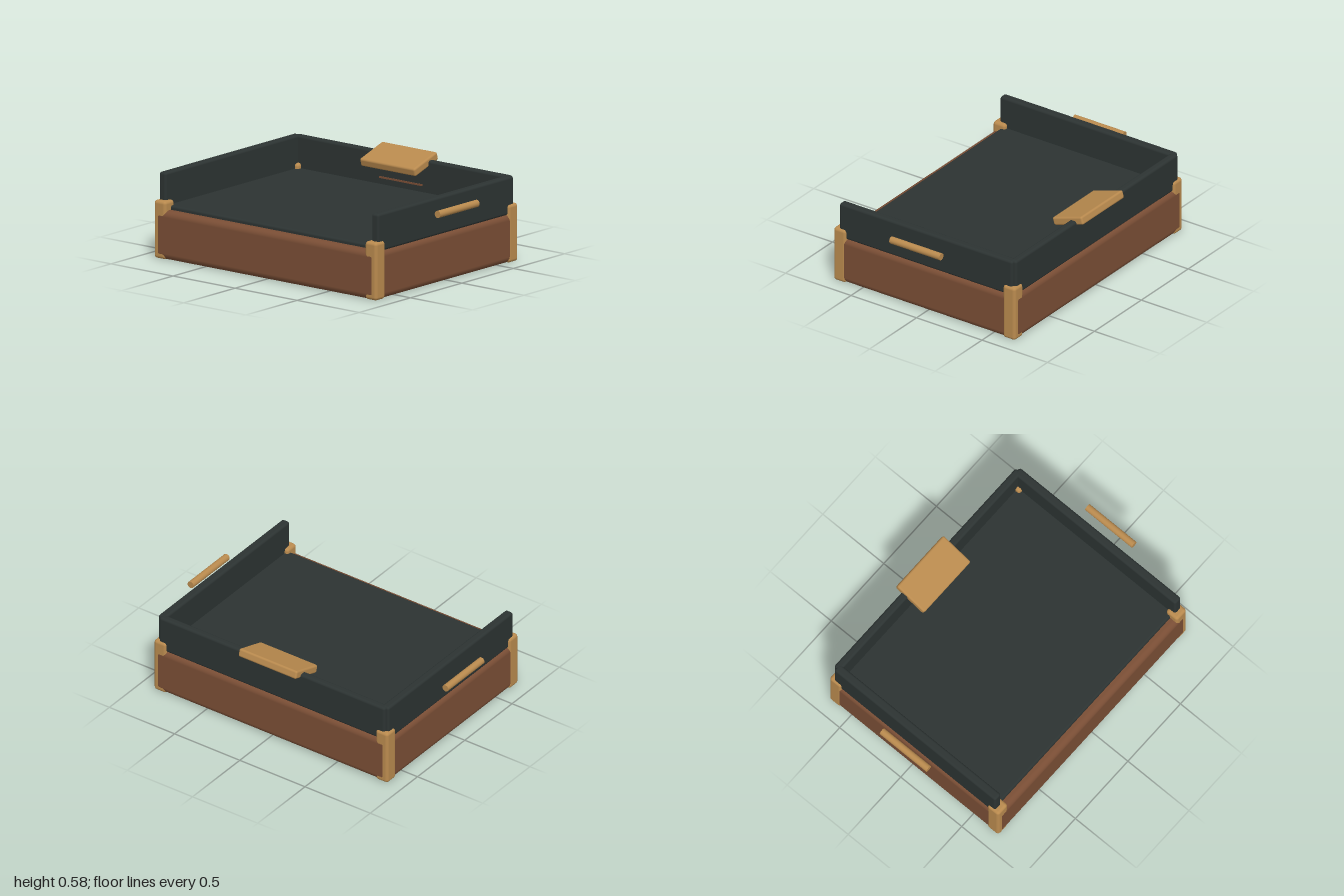
import * as THREE from 'three';
import { RoundedBoxGeometry } from 'three/addons/geometries/RoundedBoxGeometry.js';

const material = (color) => new THREE.MeshStandardMaterial({ color });

export function createModel() {
  const model = new THREE.Group();
  const brown = material(0x7a4e35);
  const gold = material(0xb98a4e);
  const dark = material(0x2c3332);

  const add = (name, geometry, mat, x, y, z) => {
    const mesh = new THREE.Mesh(geometry, mat);
    mesh.name = name;
    mesh.position.set(x, y, z);
    model.add(mesh);
    return mesh;
  };

  // Rounded box given by its extents on each axis
  const box = (name, mat, [x0, x1], [y0, y1], [z0, z1], radius) =>
    add(name, new RoundedBoxGeometry(x1 - x0, y1 - y0, z1 - z0, 3, radius), mat,
      (x0 + x1) / 2, (y0 + y1) / 2, (z0 + z1) / 2);

  // Body and tray floor
  box('base', brown, [-0.895, 0.895], [0, 0.312], [-0.677, 0.712], 0.04);
  box('trayFloor', dark, [-0.85, 0.85], [0.29, 0.338], [-0.64, 0.655], 0.015);

  // Back wall, with a thin strip on its inner face
  box('backWall', dark, [-0.865, 0.865], [0.305, 0.545], [-0.664, -0.614], 0.016);
  add('backStrip', new THREE.BoxGeometry(0.348, 0.012, 0.03), brown, 0, 0.382, -0.625);

  // Tilted plate on the back wall
  const plate = add('tiltedPlate', new RoundedBoxGeometry(0.444, 0.054, 0.236, 3, 0.013), gold, 0, 0.526, -0.596);
  plate.rotation.x = 0.31;

  for (const side of [1, -1]) {
    const label = side > 0 ? 'left' : 'right';
    const span = (a, b) => (side > 0 ? [a, b] : [-b, -a]);

    // Side wall, and side handle held clear of it
    box(label + 'Wall', dark, span(0.828, 0.884), [0.305, 0.546], [-0.647, 0.674], 0.016);
    const handle = add(label + 'Handle', new THREE.CylinderGeometry(0.023, 0.023, 0.382, 24), gold,
      side * 0.977, 0.474, 0.018);
    handle.rotation.x = Math.PI / 2;

    // Corner guards
    box(label + 'FrontCorner', gold, span(0.803, 0.897), [0.001, 0.371], [0.617, 0.711], 0.02);
    box(label + 'BackCorner', gold, span(0.803, 0.897), [0.001, 0.371], [-0.676, -0.582], 0.02);
  }
  return model;
}
